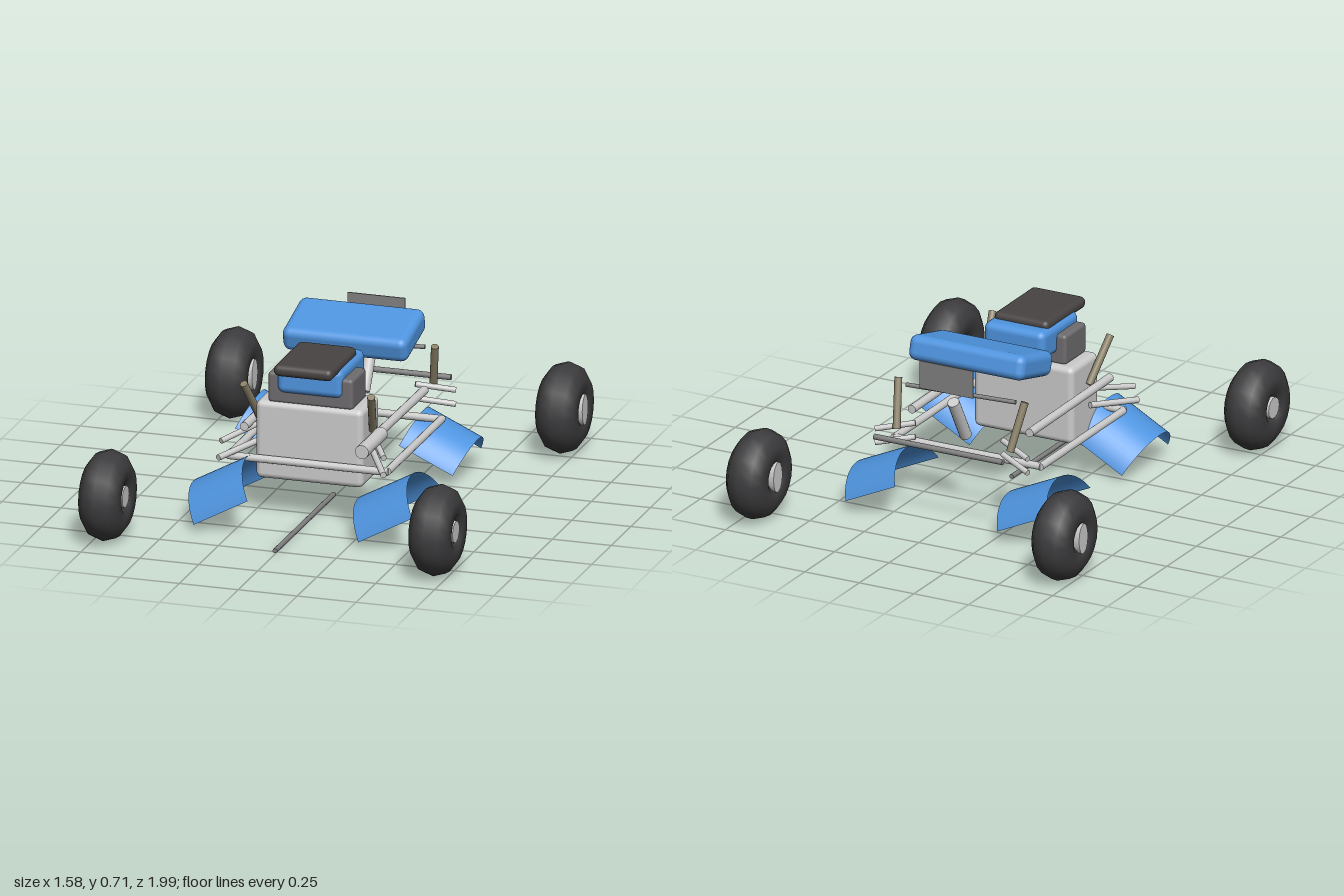
import * as THREE from 'three';
import { RoundedBoxGeometry } from 'three/addons/geometries/RoundedBoxGeometry.js';

const paint = (color, side = THREE.FrontSide) => new THREE.MeshStandardMaterial({ color, side });
const grey = paint(0xcccccc);
const steel = paint(0x808080);
const blue = paint(0x4f95e0);
const blueSheet = paint(0x4f95e0, THREE.DoubleSide);
const rubber = paint(0x3c3c3e);
const leather = paint(0x474342);
const iron = paint(0x6e6c6e);
const spring = paint(0x8a8168);

export function createModel() {
  const model = new THREE.Group();
  model.name = 'quadBike';

  const add = (name, geometry, material, x = 0, y = 0, z = 0) => {
    const mesh = new THREE.Mesh(geometry, material);
    mesh.name = name;
    mesh.position.set(x, y, z);
    model.add(mesh);
    return mesh;
  };

  // Round bar between two points
  const bar = (name, from, to, radius, material = grey) => {
    const a = new THREE.Vector3(...from);
    const b = new THREE.Vector3(...to);
    const dir = b.clone().sub(a);
    const mesh = add(name, new THREE.CylinderGeometry(radius, radius, dir.length(), 14), material);
    mesh.position.copy(a).add(b).multiplyScalar(0.5);
    mesh.quaternion.setFromUnitVectors(new THREE.Vector3(0, 1, 0), dir.normalize());
    return mesh;
  };

  // The same bar on both sides
  const pair = (name, [x1, y1, z1], [x2, y2, z2], radius, material) => {
    for (const s of [1, -1]) {
      bar((s > 0 ? 'left' : 'right') + name, [s * x1, y1, z1], [s * x2, y2, z2], radius, material);
    }
  };

  const block = (name, [w, h, d], [x, y, z], radius, material) =>
    add(name, new RoundedBoxGeometry(w, h, d, 3, radius), material, x, y, z);

  // Wheels: fat tyres around a short hub, the rear hubs longer and taller
  const tyre = new THREE.TorusGeometry(0.1, 0.087, 10, 20).rotateY(Math.PI / 2);
  const frontHub = new THREE.CylinderGeometry(0.045, 0.045, 0.155, 14).rotateZ(Math.PI / 2);
  const rearHub = new THREE.CylinderGeometry(0.065, 0.065, 0.175, 14)
    .rotateZ(Math.PI / 2).scale(1, 1, 0.58);
  for (const x of [-0.7, 0.7]) {
    for (const z of [-0.81, 0.81]) {
      add('tyre', tyre, rubber, x, 0.195, z);
      add('hub', z > 0 ? frontHub : rearHub, grey, x, 0.195, z);
    }
  }

  // Fenders: tilted arched sheets, centred on their own height
  const fender = (name, x, y, z, radius, halfAngle, length, tilt) => {
    const sheet = new THREE.CylinderGeometry(
      radius, radius, length, 20, 1, true, Math.PI / 2 - halfAngle, 2 * halfAngle);
    sheet.rotateZ(Math.PI / 2);
    sheet.translate(0, -radius * (1 + Math.cos(halfAngle)) / 2, 0);
    add(name, sheet, blueSheet, x, y, z).rotation.z = tilt;
  };
  fender('leftFrontFender', 0.378, 0.157, 0.415, 0.207, 1.22, 0.26, 0.5);
  fender('rightFrontFender', -0.32, 0.157, 0.415, 0.207, 1.22, 0.26, 0.5);
  fender('leftRearFender', 0.325, 0.16, -0.42, 0.208, 1.08, 0.25, -0.43);
  fender('rightRearFender', -0.37, 0.16, -0.42, 0.208, 1.08, 0.25, -0.43);

  // Engine, tank and seats
  block('engine', [0.455, 0.33, 0.225], [-0.002, 0.332, 0.232], 0.025, grey);
  block('engineHead', [0.36, 0.13, 0.178], [0, 0.555, 0.242], 0.015, iron);
  block('tank', [0.28, 0.125, 0.305], [0, 0.598, 0.193], 0.03, blue);
  block('frontPad', [0.25, 0.05, 0.335], [0, 0.662, 0.268], 0.023, leather);
  block('seat', [0.53, 0.105, 0.275], [0, 0.638, -0.23], 0.033, blue).rotation.x = 0.25;

  // Frame
  pair('LowerRail', [0.335, 0.258, 0.355], [0.335, 0.258, -0.345], 0.016);
  pair('UpperRail', [0.27, 0.387, 0.36], [0.27, 0.382, -0.315], 0.018);
  bar('frontCrossBar', [-0.34, 0.258, 0.36], [0.34, 0.258, 0.36], 0.016);
  bar('rearCrossBar', [-0.335, 0.258, -0.338], [0.335, 0.258, -0.338], 0.016);

  // Suspension arms and shock absorbers
  pair('FrontLowerArm', [0.35, 0.275, 0.45], [0.24, 0.3, 0.25], 0.013);
  pair('FrontUpperArm', [0.345, 0.34, 0.43], [0.25, 0.37, 0.27], 0.012);
  pair('RearLowerArm', [0.35, 0.28, -0.475], [0.2, 0.31, -0.41], 0.012);
  pair('RearUpperArm', [0.35, 0.34, -0.475], [0.2, 0.37, -0.41], 0.012);
  pair('FrontShock', [0.27, 0.57, 0.365], [0.238, 0.39, 0.245], 0.016, spring);
  pair('RearShock', [0.29, 0.545, -0.39], [0.26, 0.35, -0.46], 0.016, spring);

  // Steering, exhaust, axles and plate
  bar('steeringColumn', [0, 0.335, -0.355], [0, 0.515, -0.46], 0.025);
  bar('handlebar', [-0.24, 0.53, -0.375], [0.24, 0.53, -0.415], 0.009, steel);
  bar('muffler', [0.293, 0.4, 0.31], [0.293, 0.4, 0.555], 0.029);
  bar('rearAxle', [-0.295, 0.353, -0.583], [0.295, 0.353, -0.583], 0.012, steel);
  bar('driveShaft', [0, 0.022, 0.03], [0, 0.022, 0.78], 0.01, steel);
  add('rearPlate', new THREE.BoxGeometry(0.245, 0.118, 0.006), steel, 0, 0.633, -0.517);

  return model;
}
